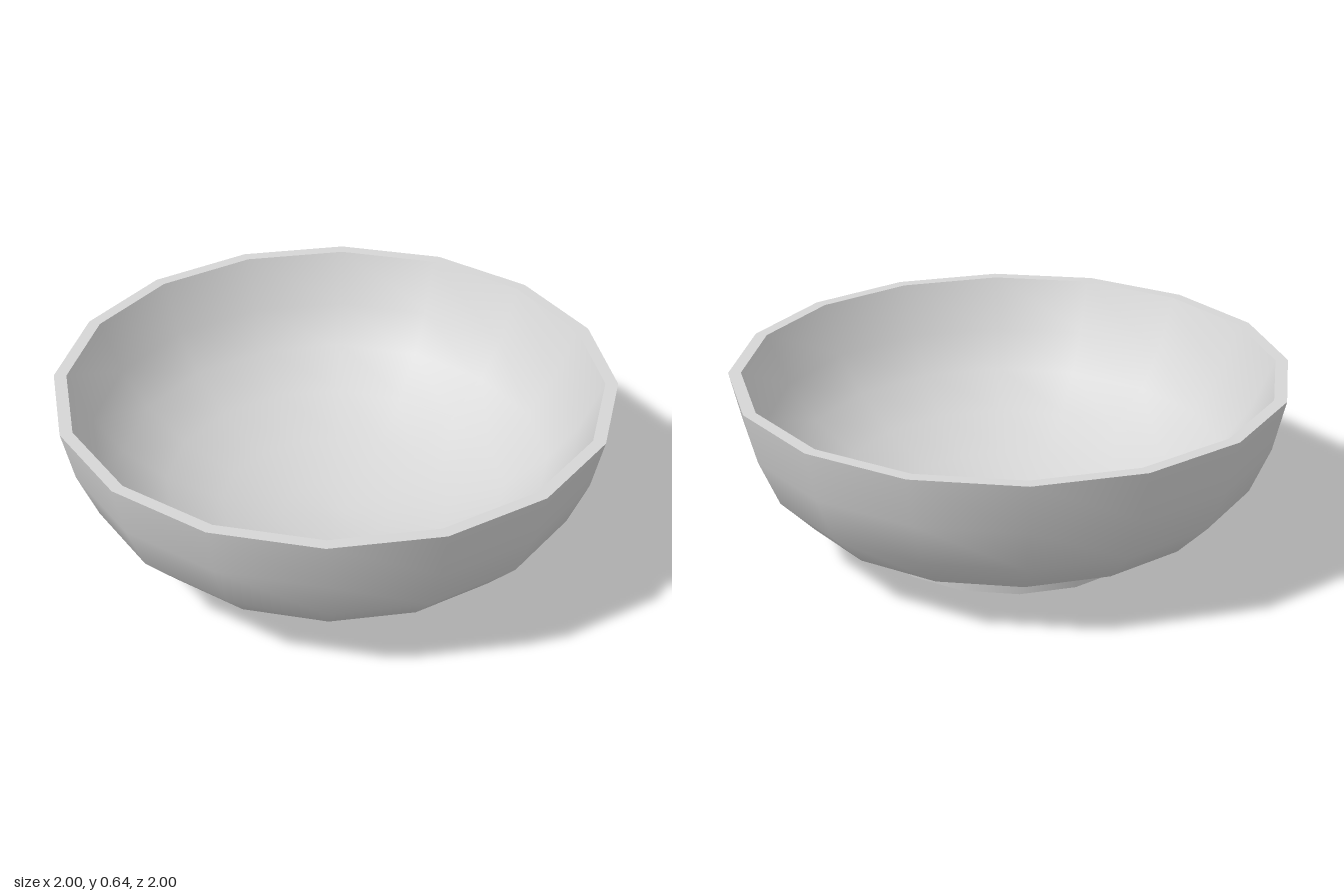
import * as THREE from 'three';

const SIDES = 16;

export function createModel() {
  const bowl = new THREE.Group();
  bowl.name = 'bowl';
  const grey = new THREE.MeshStandardMaterial({ color: 0xd6d6d6 });
  grey.name = 'light grey ceramic';

  // Each surface is its own lathe, so edges between surfaces stay sharp
  const turn = (name, profile) => {
    const points = profile.map(([r, y]) => new THREE.Vector2(r, y));
    const mesh = new THREE.Mesh(new THREE.LatheGeometry(points, SIDES), grey);
    mesh.name = name;
    bowl.add(mesh);
  };

  // Foot: flat underside and short, slightly flared wall
  turn('footUnderside', [[0, 0], [0.52, 0]]);
  turn('footWall', [[0.52, 0], [0.526, 0.055]]);

  // Rounded outside, flat rim, and evenly curved inside, thicker towards the bottom
  turn('outerWall', [[0.52, 0.053], [0.765, 0.16], [0.885, 0.285], [0.957, 0.455], [1, 0.64]]);
  turn('rim', [[1, 0.64], [0.955, 0.64]]);
  turn('innerWall', [
    [0.955, 0.64], [0.875, 0.455], [0.77, 0.32], [0.62, 0.205],
    [0.42, 0.115], [0.2, 0.065], [0.04, 0.055], [0, 0.055],
  ]);

  return bowl;
}
